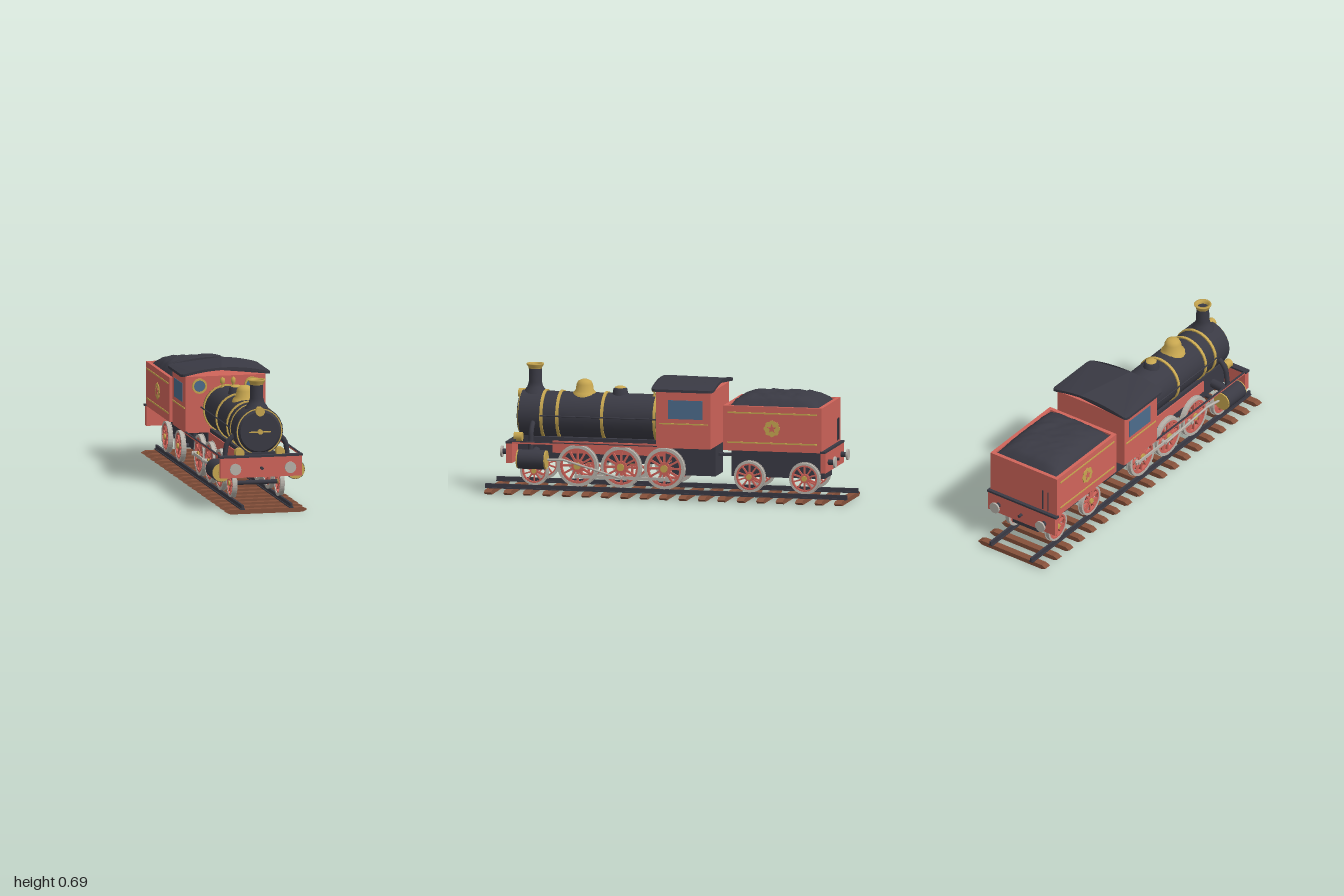
import * as THREE from 'three';

const paint = (name, color) => Object.assign(new THREE.MeshStandardMaterial({ color }), { name });

export function createModel() {
  const red = paint('red paint', 0xd0645a), black = paint('black iron', 0x3a3a44);
  const gold = paint('brass', 0xc8a750), steel = paint('steel', 0xb8b3ab);
  const wood = paint('sleeper wood', 0x85503a), glass = paint('window glass', 0x4c6c8c);
  const root = new THREE.Group();
  root.name = 'steamTrain';

  const add = (name, geo, mat, x = 0, y = 0, z = 0, parent = root) => {
    const m = new THREE.Mesh(geo, mat);
    m.name = name;
    m.position.set(x, y, z);
    parent.add(m);
    return m;
  };
  // box given by its extents
  const box = (name, mat, x0, x1, y0, y1, z0, z1) => add(name,
    new THREE.BoxGeometry(x1 - x0, y1 - y0, z1 - z0), mat, (x0 + x1) / 2, (y0 + y1) / 2, (z0 + z1) / 2);
  // cylinder along z from z0 to z1
  const drum = (name, mat, x, y, z0, z1, r0, r1 = r0, seg = 20) => add(name,
    new THREE.CylinderGeometry(r1, r0, z1 - z0, seg).rotateX(Math.PI / 2), mat, x, y, (z0 + z1) / 2);
  const lathe = (name, mat, pts, y, z, x = 0, seg = 16) => add(name,
    new THREE.LatheGeometry(pts.map(p => new THREE.Vector2(...p)), seg), mat, x, y, z);
  const rod = (name, mat, a, b, r) => {
    const p = new THREE.Vector3(...a), q = new THREE.Vector3(...b);
    const m = add(name, new THREE.CylinderGeometry(r, r, p.distanceTo(q), 8), mat);
    m.position.copy(p).lerp(q, 0.5);
    m.quaternion.setFromUnitVectors(new THREE.Vector3(0, 1, 0), q.sub(p).normalize());
    return m;
  };
  const extrude = (shape, depth) => new THREE.ExtrudeGeometry(shape, { depth, bevelEnabled: false, curveSegments: 16 })
    .translate(0, 0, -depth / 2);
  const polygon = pts => new THREE.Shape(pts.map(p => new THREE.Vector2(...p)));
  const ring = (r0, r1, depth) => {
    const s = new THREE.Shape().absarc(0, 0, r1, 0, Math.PI * 2, false);
    s.holes.push(new THREE.Path().absarc(0, 0, r0, 0, Math.PI * 2, true));
    return extrude(s, depth);
  };
  const sides = f => [1, -1].forEach(f);

  // track
  const sleeper = extrude(polygon([[-0.226, 0.016], [-0.2, 0.003], [0.2, 0.003], [0.226, 0.016], [0.2, 0.028], [-0.2, 0.028]]), 0.04);
  for (let i = 0; i < 19; i++) add('sleeper', sleeper, wood, 0, 0, 0.967 - i * 0.1075);
  sides(s => {
    const x = s * 0.135;
    box('railFoot', black, x - 0.012, x + 0.012, 0.028, 0.034, -1, 1);
    box('railHead', black, x - 0.006, x + 0.006, 0.034, 0.053, -1, 1);
  });

  // spoked wheels
  const wheel = (s, y, z, r, spokes) => {
    const g = new THREE.Group();
    g.name = 'wheel';
    g.position.set(s * 0.133, y, z);
    g.rotation.y = s * Math.PI / 2;
    root.add(g);
    add('tyre', ring(r * 0.86, r, 0.022), steel, 0, 0, 0, g);
    add('flange', ring(r * 0.86, r + 0.004, 0.004), steel, 0, 0, -0.012, g);
    add('rim', ring(r * 0.76, r * 0.86, 0.018), red, 0, 0, 0, g);
    for (let i = 0; i < spokes; i++) {
      const spoke = new THREE.BoxGeometry(r * 0.1, r * 0.6, 0.012).translate(0, r * 0.48, 0);
      add('spoke', spoke.rotateZ(i / spokes * Math.PI * 2), red, 0, 0, 0, g);
    }
    add('hubPlate', new THREE.CylinderGeometry(r * 0.3, r * 0.3, 0.018, 16).rotateX(Math.PI / 2), red, 0, 0, 0, g);
    add('hub', new THREE.CylinderGeometry(r * 0.18, r * 0.18, 0.03, 12).rotateX(Math.PI / 2), gold, 0, 0, 0.002, g);
  };
  const axles = [[0.165, 0.49, 0.111, 12], [0.165, 0.25, 0.111, 12], [0.165, 0.01, 0.111, 12],
    [0.13, 0.73, 0.076, 10], [0.137, -0.46, 0.084, 10], [0.137, -0.765, 0.084, 10]];
  axles.forEach(([y, z, r, n]) => {
    sides(s => wheel(s, y, z, r, n));
    rod('axle', black, [-0.125, y, z], [0.125, y, z], 0.012);
  });

  // frames
  box('engineFrame', black, -0.085, 0.085, 0.18, 0.31, 0.02, 0.835);
  box('cabFrame', black, -0.086, 0.086, 0.125, 0.3, -0.262, -0.02);
  box('tenderFrame', black, -0.086, 0.086, 0.13, 0.3, -0.865, -0.35);
  box('drawbar', black, -0.02, 0.02, 0.228, 0.242, -0.37, -0.24);
  sides(s => {
    box('framePlate', red, s * 0.088 - 0.003, s * 0.088 + 0.003, 0.225, 0.29, 0.02, 0.64);
    box('runningEdge', red, s * 0.222 - 0.004, s * 0.222 + 0.004, 0.287, 0.296, 0.03, 0.84);
    box('runningEdgeCap', black, s * 0.222 - 0.005, s * 0.222 + 0.005, 0.296, 0.3, 0.03, 0.84);
  });

  // rods and cylinders, quartered between the two sides
  sides(s => {
    const dy = s > 0 ? -0.055 : 0, dz = s > 0 ? 0 : -0.055, x = s * 0.157;
    const py = 0.165 + dy;
    box('couplingRod', steel, x - 0.004, x + 0.004, py - 0.008, py + 0.008, dz - 0.012, 0.502 + dz);
    [0.49, 0.25, 0.01].forEach(z => rod('crankPin', steel, [s * 0.14, py, z + dz], [s * 0.168, py, z + dz], 0.011));
    rod('mainRod', steel, [s * 0.172, 0.2, 0.56], [s * 0.166, py, 0.25 + dz], 0.006);
    rod('pistonRod', steel, [s * 0.19, 0.2, 0.66], [s * 0.172, 0.2, 0.56], 0.007);
    drum('cylinder', black, s * 0.205, 0.202, 0.652, 0.797, 0.053);
    drum('cylinderCap', gold, s * 0.205, 0.202, 0.797, 0.805, 0.05);
    drum('cylinderCap', gold, s * 0.205, 0.202, 0.644, 0.652, 0.05);
    drum('cylinderBoss', gold, s * 0.205, 0.202, 0.805, 0.812, 0.02);
    rod('cylinderBracket', black, [s * 0.08, 0.23, 0.73], [s * 0.18, 0.22, 0.73], 0.025);
    const path = new THREE.CatmullRomCurve3([[0.1, 0.405], [0.135, 0.38], [0.162, 0.345], [0.17, 0.3], [0.178, 0.23]]
      .map(([px, y]) => new THREE.Vector3(s * px, y, 0.74)));
    add('steamPipe', new THREE.TubeGeometry(path, 14, 0.014, 8), black);
  });

  // boiler, smokebox and door
  drum('boiler', black, 0, 0.422, 0.03, 0.7, 0.126, 0.126, 24);
  drum('smokebox', black, 0, 0.422, 0.69, 0.82, 0.131, 0.131, 24);
  drum('smokeboxDoor', black, 0, 0.422, 0.82, 0.833, 0.12, 0.108, 24);
  add('doorRing', ring(0.12, 0.126, 0.006), gold, 0, 0.422, 0.822);
  [0.07, 0.36, 0.607, 0.695].forEach(z => drum('boilerBand', gold, 0, 0.422, z - 0.008, z + 0.008, 0.133, 0.133, 24));
  drum('doorKnob', gold, 0, 0.422, 0.833, 0.848, 0.014);
  box('doorHandle', gold, -0.06, 0.06, 0.418, 0.424, 0.834, 0.84);
  sides(s => rod('handrail', black, [s * 0.136, 0.43, 0.04], [s * 0.136, 0.43, 0.7], 0.004));
  [[0, 0.532], [0.112, 0.31], [-0.112, 0.31]].forEach(([x, y]) => drum('lamp', gold, x, y, 0.8, 0.845, 0.025, 0.025, 14));

  // chimney
  lathe('chimney', black, [[0.068, 0], [0.058, 0.02], [0.043, 0.04], [0.036, 0.065], [0.035, 0.14]], 0.53, 0.755);
  lathe('chimneyCap', gold, [[0.036, 0], [0.037, 0.006], [0.047, 0.022], [0.047, 0.028], [0.033, 0.028], [0.03, 0.005]], 0.668, 0.755);
  drum('chimneyHole', black, 0, 0.675, 0.754, 0.756, 0.031).rotation.x = Math.PI / 2;

  // domes and whistles
  lathe('steamDome', gold, [[0.07, 0], [0.064, 0.018], [0.05, 0.03], [0.045, 0.062], [0.036, 0.08], [0.02, 0.089], [0, 0.09]], 0.528, 0.482);
  lathe('sandDome', black, [[0.05, 0], [0.042, 0.02], [0.038, 0.045], [0.03, 0.05], [0, 0.05]], 0.528, 0.285);
  lathe('sandDomeLid', gold, [[0.03, 0], [0.03, 0.005], [0.014, 0.012], [0, 0.012]], 0.576, 0.285);
  sides(s => lathe('whistle', gold, [[0.014, 0], [0.006, 0.015], [0.006, 0.03], [0.013, 0.032], [0.013, 0.055], [0, 0.065]], 0.535, 0.09, s * 0.03, 10));

  // buffer beams with buffers and hooks
  [[1, 0.832, 0.866, 0.225], [-1, -0.9, -0.872, 0.222]].forEach(([d, z0, z1, w]) => {
    const face = d > 0 ? z1 : z0;
    box('bufferBeam', red, -w, w, 0.18, 0.288, z0, z1);
    box('beamCap', black, -0.231, 0.231, 0.288, 0.299, z0, z1);
    const span = (a, b) => d > 0 ? [face + a, face + b] : [face - b, face - a];
    sides(s => {
      drum('bufferStock', black, s * 0.152, 0.233, ...span(0, 0.034), 0.014, 0.014, 12);
      drum('bufferHead', steel, s * 0.152, 0.233, ...span(0.032, 0.042), 0.031);
    });
    drum('hook', black, 0, 0.23, ...span(0, 0.025), 0.008, 0.008, 8);
  });

  // cab
  box('cab', red, -0.222, 0.222, 0.29, 0.597, -0.265, 0.035);
  sides(s => {
    const x = s * 0.2225;
    box('sideWindow', glass, x - 0.002, x + 0.002, 0.45, 0.552, -0.222, -0.03);
    box('cabStripe', gold, x - 0.003, x + 0.003, 0.42, 0.427, -0.25, 0.02);
    add('roundWindowFrame', ring(0.031, 0.041, 0.012), gold, s * 0.145, 0.545, 0.039);
    drum('roundWindow', glass, s * 0.145, 0.545, 0.034, 0.038, 0.032);
  });
  // arched roof: rounded slab bent over x
  const rx = 0.247, rz = 0.173, c = 0.03;
  const roofShape = new THREE.Shape();
  roofShape.moveTo(-rx + c, -rz);
  for (let i = 0; i <= 16; i++) roofShape.lineTo((rx - c) * (i / 8 - 1), -rz);
  roofShape.quadraticCurveTo(rx, -rz, rx, -rz + c).lineTo(rx, rz - c).quadraticCurveTo(rx, rz, rx - c, rz);
  for (let i = 16; i >= 0; i--) roofShape.lineTo((rx - c) * (i / 8 - 1), rz);
  roofShape.quadraticCurveTo(-rx, rz, -rx, rz - c).lineTo(-rx, -rz + c).quadraticCurveTo(-rx, -rz, -rx + c, -rz);
  const roof = new THREE.ExtrudeGeometry(roofShape, { depth: 0.014, bevelEnabled: false, curveSegments: 4 }).rotateX(-Math.PI / 2);
  const rp = roof.attributes.position;
  for (let i = 0; i < rp.count; i++) rp.setY(i, rp.getY(i) + 0.034 * (1 - (rp.getX(i) / rx) ** 2));
  roof.computeVertexNormals();
  add('cabRoof', roof, black, 0, 0.598, -0.113);

  // tender body with open rim
  box('tenderBody', red, -0.222, 0.222, 0.29, 0.5, -0.88, -0.335);
  sides(s => box('tenderWall', red, s * 0.212 - 0.01, s * 0.212 + 0.01, 0.5, 0.533, -0.88, -0.335));
  box('tenderWall', red, -0.202, 0.202, 0.5, 0.533, -0.88, -0.858);
  box('tenderWall', red, -0.202, 0.202, 0.5, 0.533, -0.357, -0.335);
  // heaped coal
  const coal = new THREE.PlaneGeometry(0.404, 0.5, 16, 20).rotateX(-Math.PI / 2);
  const cp = coal.attributes.position;
  let seed = 7;
  const rand = () => (seed = seed * 16807 % 2147483647) / 2147483647;
  for (let i = 0; i < cp.count; i++) {
    const u = 1 - (cp.getX(i) / 0.202) ** 4, v = 1 - (cp.getZ(i) / 0.25) ** 4;
    cp.setY(i, Math.max(u * v, 0) ** 0.6 * (0.058 + 0.012 * rand()));
  }
  coal.computeVertexNormals();
  add('coal', coal, black, 0, 0.522, -0.607);

  // tender stripes and rosette
  const star = polygon(Array.from({ length: 10 }, (_, i) => {
    const a = i * Math.PI / 5 + Math.PI / 2, r = i % 2 ? 0.011 : 0.027;
    return [r * Math.cos(a), r * Math.sin(a)];
  }));
  const rosette = polygon(Array.from({ length: 48 }, (_, i) => {
    const a = i * Math.PI / 24, r = 0.043 + 0.003 * Math.cos(8 * a);
    return [r * Math.cos(a), r * Math.sin(a)];
  }));
  sides(s => {
    const x = s * 0.222;
    [0.335, 0.497].forEach(y => box('tenderStripe', gold, x - 0.003, x + 0.003, y - 0.004, y + 0.004, -0.853, -0.36));
    add('rosette', extrude(rosette, 0.008), gold, x, 0.415, -0.605).rotation.y = s * Math.PI / 2;
    add('rosetteStar', extrude(star, 0.004), red, s * 0.2265, 0.415, -0.605).rotation.y = s * Math.PI / 2;
  });
  [-0.13, -0.165].forEach(x => rod('rearGrabRail', black, [x, 0.31, -0.884], [x, 0.43, -0.884], 0.003));

  return root;
}
